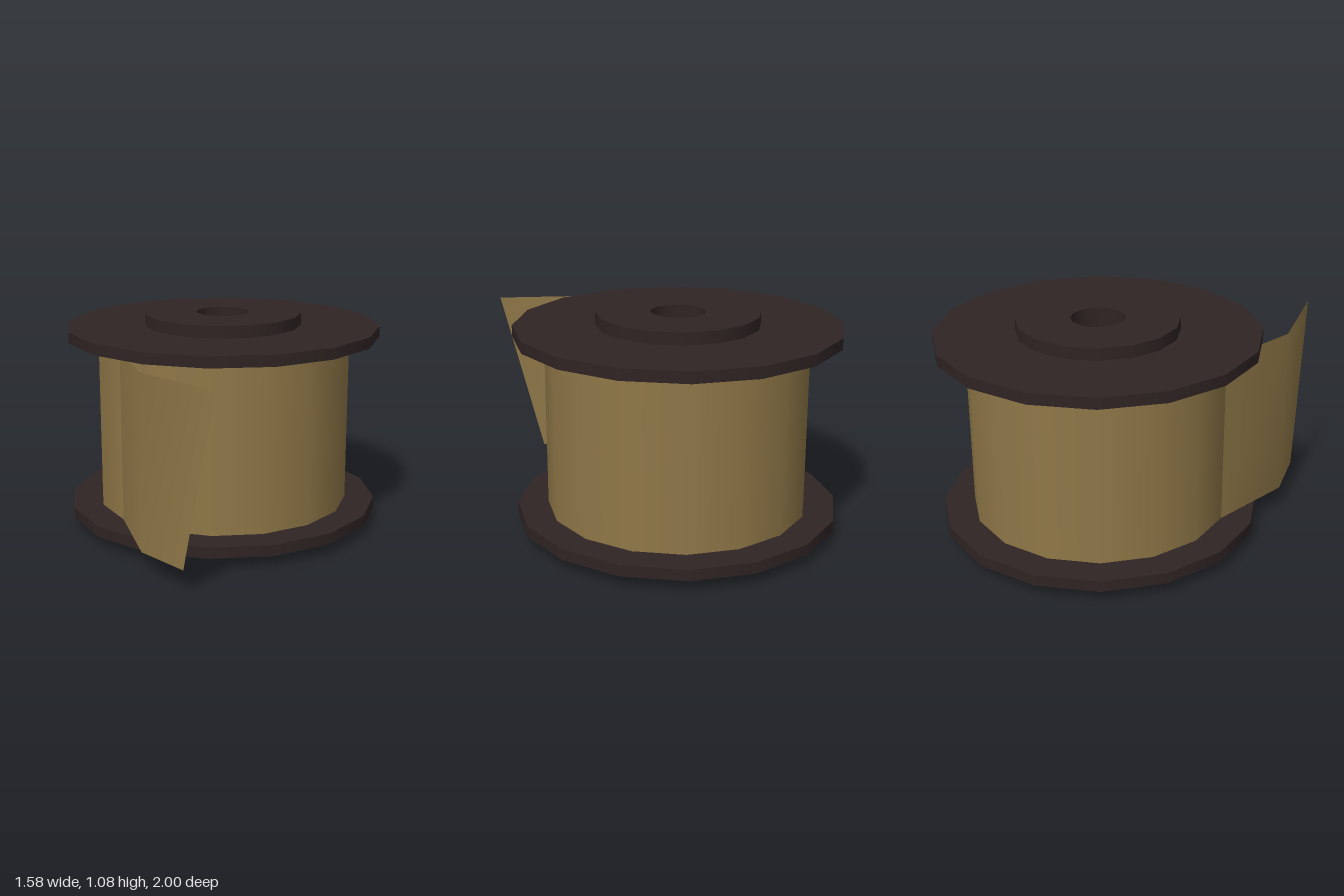
import * as THREE from 'three';
import { mergeGeometries } from 'three/addons/utils/BufferGeometryUtils.js';

const SIDES = 16;
const HEIGHT = 1.08;
const BORE = 0.132, HUB = 0.395, FLANGE = 0.79, ROLL = 0.64;
const TAPE_LOW = 0.115, TAPE_HIGH = HEIGHT - TAPE_LOW;

// Revolve each profile segment separately: crisp rims, smooth around the axis
function revolve(profile) {
  const bands = [];
  for (let i = 0; i < profile.length - 1; i++) {
    const pair = [profile[i], profile[i + 1]].map(([r, y]) => new THREE.Vector2(r, y));
    bands.push(new THREE.LatheGeometry(pair, SIDES));
  }
  return mergeGeometries(bands);
}

// Strip of quads through [xTop, zTop, xBottom, zBottom] stations
function ribbon(stations) {
  const positions = [], index = [];
  stations.forEach(([xt, zt, xb, zb], i) => {
    positions.push(xt, TAPE_HIGH, zt, xb, TAPE_LOW, zb);
    if (i > 0) {
      const a = 2 * (i - 1);
      index.push(a, a + 1, a + 2, a + 1, a + 3, a + 2);
    }
  });
  const geometry = new THREE.BufferGeometry();
  geometry.setAttribute('position', new THREE.Float32BufferAttribute(positions, 3));
  geometry.setIndex(index);
  geometry.computeVertexNormals();
  return geometry;
}

export function createModel() {
  const model = new THREE.Group();
  model.name = 'tapeSpool';

  const spoolDark = new THREE.MeshStandardMaterial({ color: 0x302424 });
  spoolDark.name = 'spoolDark';
  const tapeTan = new THREE.MeshStandardMaterial({ color: 0x907848, side: THREE.DoubleSide });
  tapeTan.name = 'tapeTan';

  const add = (name, geometry, material, parent) => {
    const mesh = new THREE.Mesh(geometry, material);
    mesh.name = name;
    parent.add(mesh);
  };

  // Everything round turns about an axis set back from the centre
  const reel = new THREE.Group();
  reel.name = 'reel';
  reel.position.z = -0.21;
  model.add(reel);

  // Flanges with raised hubs; the top one mirrors the bottom one
  const bottom = [[BORE, 0], [HUB, 0], [HUB, 0.06], [FLANGE, 0.06], [FLANGE, TAPE_LOW], [BORE, TAPE_LOW]];
  const top = bottom.map(([r, y]) => [r, HEIGHT - y]).reverse();
  add('bottomFlange', revolve(bottom), spoolDark, reel);
  add('topFlange', revolve(top), spoolDark, reel);

  // Bore wall and wound tape
  add('bore', revolve([[BORE, HEIGHT], [BORE, 0]]), spoolDark, reel);
  add('woundTape', revolve([[ROLL, TAPE_LOW], [ROLL, TAPE_HIGH]]), tapeTan, reel);

  // Loose tape end, leaving the roll and cut at a slant
  add('looseEnd', ribbon([
    [-0.453, 0.243, -0.453, 0.243],
    [-0.30, 0.66, -0.30, 0.66],
    [0.07, 1.0, -0.085, 0.855],
  ]), tapeTan, model);

  return model;
}
